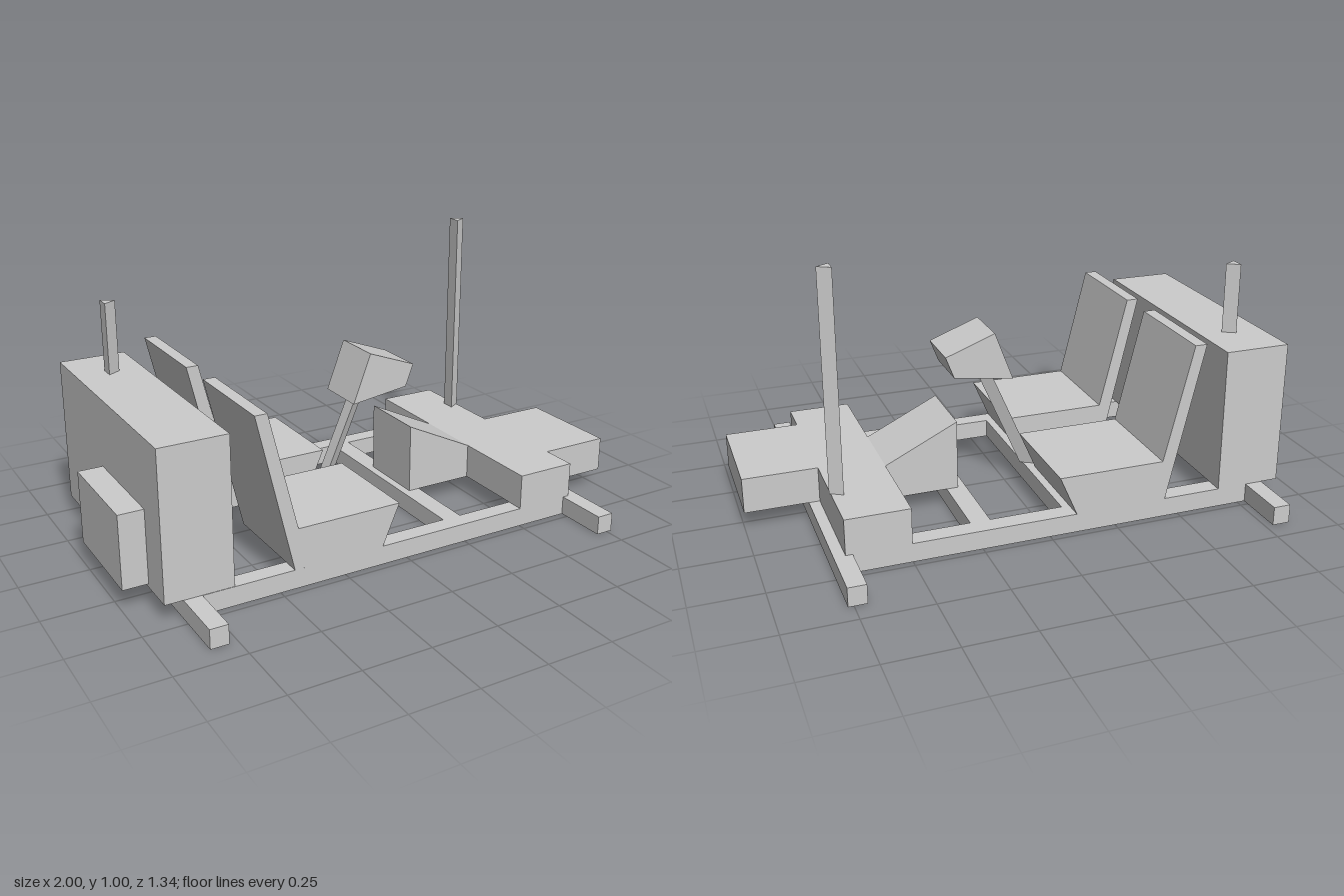
import * as THREE from 'three';

const material = new THREE.MeshStandardMaterial({ color: 0xcccccc, flatShading: true });

export function createModel() {
  const model = new THREE.Group();

  const add = (name, geometry) => {
    const mesh = new THREE.Mesh(geometry, material);
    mesh.name = name;
    model.add(mesh);
    return mesh;
  };

  // Box given by its limits on each axis
  const box = (name, [x0, x1], [y0, y1], [z0, z1]) =>
    add(name, new THREE.BoxGeometry(x1 - x0, y1 - y0, z1 - z0))
      .position.set((x0 + x1) / 2, (y0 + y1) / 2, (z0 + z1) / 2);

  // Side profile (x, y) extruded across z
  const profile = (name, points, z0, z1) => {
    const shape = new THREE.Shape(points.map(([x, y]) => new THREE.Vector2(x, y)));
    const geometry = new THREE.ExtrudeGeometry(shape, { depth: z1 - z0, bevelEnabled: false });
    add(name, geometry.translate(0, 0, z0));
  };

  // Upright three-sided bar pointing to +x, optionally leaning along x
  const triBar = (name, x, z, y0, y1, lean = 0) => {
    const shape = new THREE.Shape([[0, -0.027], [0.046, 0], [0, 0.027]].map(([a, b]) => new THREE.Vector2(a, b)));
    const geometry = new THREE.ExtrudeGeometry(shape, { depth: y1 - y0, bevelEnabled: false });
    geometry.rotateX(-Math.PI / 2);
    geometry.applyMatrix4(new THREE.Matrix4().set(1, lean, 0, 0, 0, 1, 0, 0, 0, 0, 1, 0, 0, 0, 0, 1));
    geometry.computeVertexNormals();
    add(name, geometry.translate(x, y0, z));
  };

  // Ladder frame
  const frameY = [0, 0.07];
  box('rearAxleBeam', [-0.845, -0.78], frameY, [-0.672, 0.672]);
  box('frontAxleBeam', [0.705, 0.77], frameY, [-0.672, 0.672]);
  box('leftRail', [-0.78, 0.705], frameY, [-0.475, -0.405]);
  box('rightRail', [-0.78, 0.705], frameY, [0.405, 0.472]);
  box('rearCrossMember', [-0.14, -0.07], frameY, [-0.405, 0.405]);
  box('frontCrossMember', [0.2, 0.273], frameY, [-0.405, 0.405]);

  // Rear compartment
  box('rearBox', [-0.91, -0.665], [0.07, 0.605], [-0.475, 0.47]);
  box('rearPack', [-1, -0.91], [0.083, 0.35], [-0.055, 0.337]);
  triBar('rearPost', -0.8, -0.275, 0.605, 0.866);

  // Nose and pedal wedge
  box('noseDeck', [0.5, 0.73], [0.07, 0.202], [-0.475, 0.472]);
  box('noseBox', [0.73, 1], [0.07, 0.202], [-0.065, 0.337]);
  profile('pedalWedge', [[0.23, 0.07], [0.5, 0.07], [0.5, 0.202], [0.23, 0.333]], -0.133, 0.133);
  triBar('frontPost', 0.689, -0.275, 0.202, 1.005);

  // Seats
  const seat = [[-0.445, 0.07], [-0.1, 0.07], [-0.035, 0.22], [-0.43, 0.22], [-0.535, 0.647], [-0.58, 0.647]];
  profile('leftSeat', seat, -0.475, -0.072);
  profile('rightSeat', seat, 0.072, 0.472);

  // Steering column and control head
  triBar('steeringColumn', -0.106, -0.012, 0.07, 0.49, 0.435);
  profile('controlHead', [[0, 0.456], [0.225, 0.487], [0.257, 0.57], [0.07, 0.64]], -0.097, 0.1);

  return model;
}
